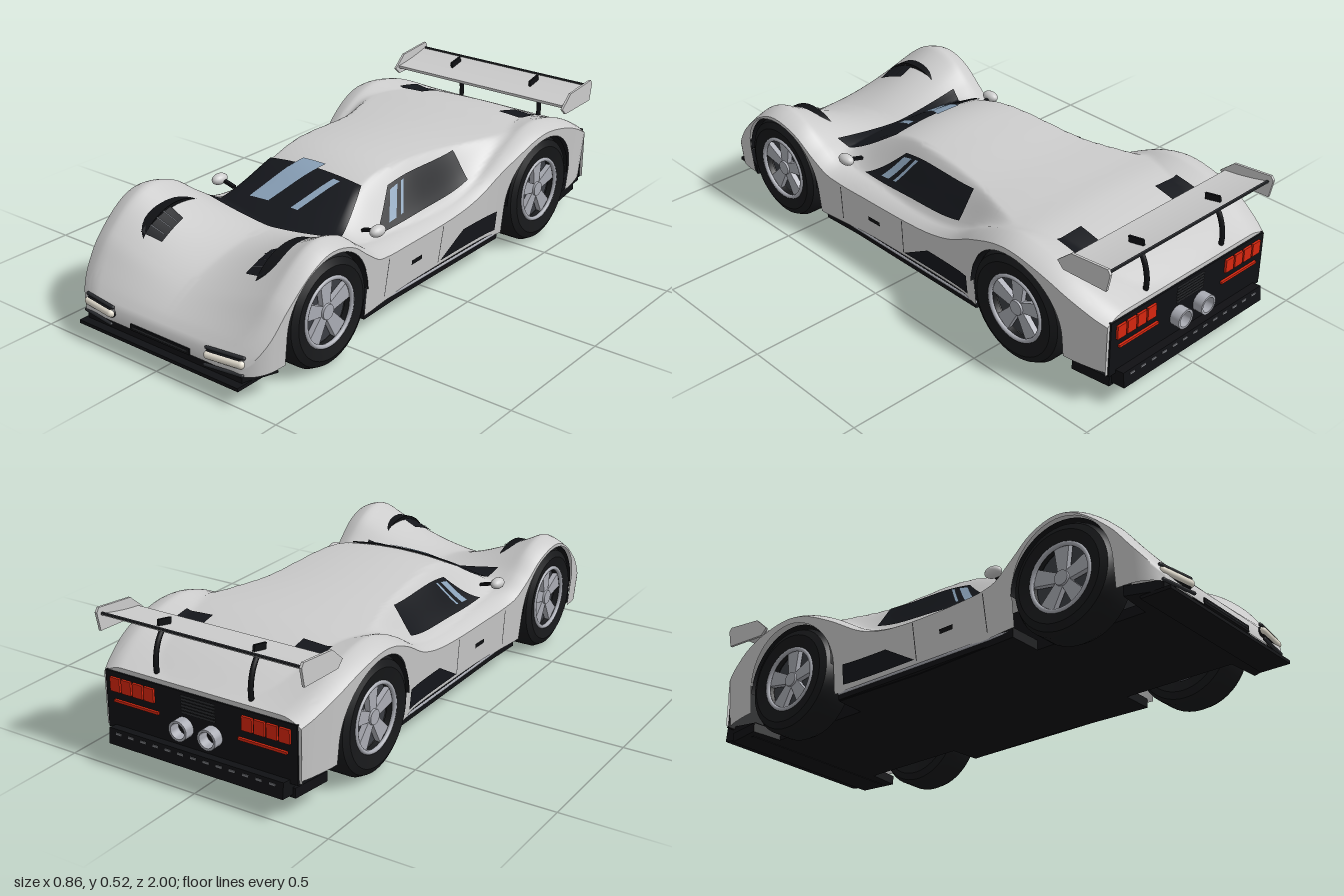
import * as THREE from 'three';
import { toCreasedNormals } from 'three/addons/utils/BufferGeometryUtils.js';

const GREY = 0xcccccc, BLACK = 0x101114, GLASS = 0x15171c, GLINT = 0x8ca4bc, RED = 0xd8260e, METAL = 0xaaacb4;
const { clamp, lerp, smoothstep } = THREE.MathUtils;

const mat = (color, double) =>
  new THREE.MeshStandardMaterial({ color, side: double ? THREE.DoubleSide : THREE.FrontSide });

function add(parent, name, geo, color, pos = [0, 0, 0], rot = [0, 0, 0], double = false) {
  const m = new THREE.Mesh(geo, mat(color, double));
  m.name = name;
  m.position.set(...pos);
  m.rotation.set(...rot);
  parent.add(m);
  return m;
}
const box = (p, name, color, size, pos, rot) => add(p, name, new THREE.BoxGeometry(...size), color, pos, rot);

// Smooth curve through [z, value] pairs, listed from nose to tail
const curve = (pts) => (z) => {
  const n = pts.length - 1;
  if (z >= pts[0][0]) return pts[0][1];
  if (z <= pts[n][0]) return pts[n][1];
  let i = 0;
  while (z < pts[i + 1][0]) i++;
  const slope = (k) => {
    const a = pts[Math.max(k - 1, 0)], b = pts[Math.min(k + 1, n)];
    return (b[1] - a[1]) / (b[0] - a[0]);
  };
  const [z0, y0] = pts[i], [z1, y1] = pts[i + 1], d = z1 - z0, t = (z - z0) / d;
  return y0 * (1 + 2 * t) * (1 - t) ** 2 + y1 * t * t * (3 - 2 * t)
    + d * (slope(i) * t * (1 - t) ** 2 - slope(i + 1) * t * t * (1 - t));
};

// Body lines along the length
const halfWidth = curve([[0.975, 0.34], [0.95, 0.375], [0.9, 0.405], [0.8, 0.42], [0.64, 0.425], [0.45, 0.412],
  [0.3, 0.392], [0, 0.382], [-0.28, 0.388], [-0.45, 0.42], [-0.6, 0.432], [-0.8, 0.425], [-0.91, 0.4], [-0.96, 0.38]]);
const centreTop = curve([[0.975, 0.14], [0.94, 0.175], [0.85, 0.23], [0.75, 0.268], [0.6, 0.3], [0.45, 0.303], [0.3, 0.29],
  [0, 0.28], [-0.2, 0.29], [-0.4, 0.33], [-0.6, 0.38], [-0.8, 0.37], [-0.96, 0.335]]);
const fenderTop = curve([[0.975, 0.14], [0.95, 0.175], [0.9, 0.24], [0.84, 0.315], [0.73, 0.405], [0.64, 0.435],
  [0.53, 0.408], [0.44, 0.345], [0.36, 0.297], [0.2, 0.283], [-0.1, 0.288], [-0.25, 0.32], [-0.39, 0.395],
  [-0.5, 0.443], [-0.59, 0.458], [-0.7, 0.442], [-0.8, 0.41], [-0.96, 0.335]]);
const roofTop = curve([[0.7, 0.14], [0.55, 0.235], [0.455, 0.3], [0.34, 0.37], [0.22, 0.436], [0.1, 0.466], [-0.05, 0.466],
  [-0.28, 0.45], [-0.45, 0.447], [-0.6, 0.446], [-0.8, 0.4], [-0.96, 0.335]]);
const roofHalf = curve([[0.45, 0.26], [0.22, 0.2], [0, 0.215], [-0.24, 0.24], [-0.4, 0.285], [-0.62, 0.345], [-0.96, 0.34]]);
const cabinHalf = curve([[0.45, 0.31], [0.22, 0.315], [0, 0.33], [-0.24, 0.335], [-0.4, 0.338], [-0.62, 0.36], [-0.96, 0.36]]);

// Height of the upper skin: hood and fenders with the cabin raised over them
function topY(x, z) {
  x = Math.abs(x);
  const base = lerp(centreTop(z), fenderTop(z), Math.min(1, x / 0.36) ** 1.4);
  const wt = roofHalf(z), s = clamp((x - wt) / (cabinHalf(z) - wt), 0, 1);
  const roof = roofTop(z) - 0.015 * Math.min(1, (x / wt) ** 2);
  const edge = Math.max(0, (x / halfWidth(z) - 0.8) / 0.2);
  return base + Math.max(0, roof - base) * (1 - 0.7 * s - 0.3 * smoothstep(s, 0, 1)) - 0.028 * edge * edge;
}
// Flank position: leans slightly inward toward the sill
const sideX = (y, z) => halfWidth(z) - 0.03 * clamp((topY(halfWidth(z), z) - y) / 0.3, 0, 1);

function gridGeo(nu, nv, fn) {
  const pos = [], idx = [];
  for (let j = 0; j <= nv; j++) for (let i = 0; i <= nu; i++) pos.push(...fn(i, j));
  for (let j = 0; j < nv; j++) for (let i = 0; i < nu; i++) {
    const a = j * (nu + 1) + i, d = a + nu + 1;
    idx.push(a, a + 1, d + 1, a, d + 1, d);
  }
  const g = new THREE.BufferGeometry();
  g.setAttribute('position', new THREE.Float32BufferAttribute(pos, 3));
  g.setIndex(idx);
  g.computeVertexNormals();
  return g;
}

// Four-cornered panel laid on the skin; corners are [x, z] on top or [y, z] on the flank
function panel(parent, name, color, c, { side = 0, off = 0.005, n = 12 } = {}) {
  const geo = gridGeo(n, n, (i, j) => {
    const u = i / n, v = j / n;
    const mix = (k) => lerp(lerp(c[0][k], c[1][k], u), lerp(c[3][k], c[2][k], u), v);
    const p = mix(0), z = mix(1), e = 0.01;
    if (side) return [side * (sideX(p, z) + off), p, z];
    const normal = new THREE.Vector3(topY(p - e, z) - topY(p + e, z), 2 * e, topY(p, z - e) - topY(p, z + e)).normalize();
    return [p + normal.x * off, topY(p, z) + normal.y * off, z + normal.z * off];
  });
  return add(parent, name, geo, color, undefined, undefined, true);
}

const AXLES = [{ name: 'front', z: 0.636, r: 0.193, arch: 0.2 }, { name: 'rear', z: -0.59, r: 0.2, arch: 0.208 }];

function bodyShell() {
  // Stations: [z, lower edge, closed end]
  const st = [[0.976, 0.095, true]];
  const run = (z0, z1, n, y) => { for (let i = 0; i <= n; i++) st.push([lerp(z0, z1, i / n), y]); };
  const arch = ({ z, r, arch: R }) => {
    for (let i = 0; i <= 24; i++) {
      const a = Math.PI * i / 24;
      st.push([z + R * Math.cos(a), r + R * Math.sin(a)]);
    }
  };
  const [f, b] = AXLES;
  run(0.976, f.z + f.arch, 10, 0.09); arch(f);
  run(f.z - f.arch, b.z + b.arch, 44, 0.09); arch(b);
  run(b.z - b.arch, -0.958, 10, 0.125);
  st.push([-0.958, 0.125, true]);
  const N = 42, K = 6, half = N + K;
  const geo = gridGeo(half * 2, st.length - 1, (i, j) => {
    const [z, low, closed] = st[j], k = Math.abs(i - half), s = Math.sign(i - half), w = halfWidth(z);
    if (k <= N) return [s * w * k / N, closed ? low : topY(w * k / N, z), z];
    const y = lerp(topY(w, z), low, (k - N) / K);
    return [s * sideX(y, z), closed ? low : y, z];
  });
  return toCreasedNormals(geo, 0.8);
}

function wheel({ r }) {
  const g = new THREE.Group(), hw = 0.075, ri = 0.118;
  const turn = [0, 0, -Math.PI / 2];
  const profile = [[ri, -hw + 0.01], [r - 0.035, -hw], [r - 0.012, -hw + 0.012], [r, -hw + 0.035],
    [r, hw - 0.035], [r - 0.012, hw - 0.012], [r - 0.035, hw], [ri, hw - 0.01], [ri - 0.004, hw - 0.04]];
  const tyre = new THREE.LatheGeometry(profile.map((p) => new THREE.Vector2(...p)), 48);
  add(g, 'tyre', toCreasedNormals(tyre, 0.6), 0x17181a, undefined, turn, true);
  add(g, 'wheelBack', new THREE.CylinderGeometry(ri, ri, 0.09, 32), 0x3c3e44, [-0.015, 0, 0], turn);
  add(g, 'rimRing', new THREE.TorusGeometry(ri - 0.004, 0.008, 8, 40), METAL, [0.064, 0, 0], [0, Math.PI / 2, 0]);
  add(g, 'hub', new THREE.CylinderGeometry(0.026, 0.03, 0.035, 20), METAL, [0.045, 0, 0], turn);
  const spoke = new THREE.Shape([[-0.016, 0.015], [0.016, 0.015], [0.03, 0.112], [-0.03, 0.112]].map((p) => new THREE.Vector2(...p)));
  const spokeGeo = new THREE.ExtrudeGeometry(spoke, { depth: 0.02, bevelEnabled: false }).rotateY(Math.PI / 2);
  for (let i = 0; i < 5; i++) add(g, 'spoke', spokeGeo, METAL, [0.035, 0, 0], [i * Math.PI * 2 / 5, 0, 0]);
  return g;
}

export function createModel() {
  const car = new THREE.Group();
  car.name = 'raceCar';
  add(car, 'bodyShell', bodyShell(), GREY, undefined, undefined, true);

  // Black floor pan, waisted around the wheels
  const rim = [[0.34, 0.96], [0.38, 0.85], [0.25, 0.84], [0.25, 0.42], [0.375, 0.42], [0.355, 0], [0.365, -0.37],
    [0.25, -0.38], [0.25, -0.8], [0.37, -0.81], [0.35, -0.95]];
  const outline = [...rim, ...rim.map(([x, z]) => [-x, z]).reverse()].map(([x, z]) => new THREE.Vector2(x, z));
  const floor = new THREE.ExtrudeGeometry(new THREE.Shape(outline), { depth: 0.035, bevelEnabled: false });
  add(car, 'floorPan', floor, BLACK, [0, 0.1, 0], [Math.PI / 2, 0, 0]);
  box(car, 'innerTub', BLACK, [0.5, 0.15, 1.6], [0, 0.155, -0.1]);

  // Windscreen and its reflections
  panel(car, 'windscreen', GLASS, [[-0.285, 0.458], [0.285, 0.458], [0.2, 0.215], [-0.2, 0.215]], { n: 36, off: 0.006 });
  panel(car, 'windscreenGlint', GLINT, [[-0.155, 0.375], [-0.07, 0.375], [0.03, 0.19], [-0.07, 0.19]], { off: 0.009 });
  panel(car, 'windscreenGlint', GLINT, [[0.03, 0.375], [0.06, 0.375], [0.128, 0.235], [0.1, 0.235]], { off: 0.009 });

  for (const s of [1, -1]) {
    const top = (c) => c.map(([x, z]) => [s * x, z]);
    // Side window and reflections
    panel(car, 'sideWindow', GLASS, top([[0.306, 0.27], [0.236, 0.12], [0.252, -0.24], [0.32, -0.24]]), { n: 16 });
    panel(car, 'sideGlint', GLINT, top([[0.295, 0.19], [0.245, 0.12], [0.245, 0.08], [0.295, 0.15]]), { off: 0.008 });
    panel(car, 'sideGlint', GLINT, top([[0.295, 0.125], [0.245, 0.06], [0.245, 0.045], [0.295, 0.11]]), { off: 0.008 });

    // Vents on the fenders and rear deck
    panel(car, 'frontVent', GLASS, top([[0.185, 0.77], [0.265, 0.785], [0.27, 0.66], [0.195, 0.66]]));
    panel(car, 'rearVent', GLASS, top([[0.178, -0.65], [0.288, -0.65], [0.288, -0.77], [0.178, -0.77]]));
    for (let i = 0; i < 3; i++) {
      const z = 0.69 + i * 0.03;
      panel(car, 'ventLouvre', 0x55585e, top([[0.195, z], [0.258, z + 0.005], [0.258, z], [0.195, z - 0.005]]), { off: 0.009, n: 4 });
    }

    // Flank details: intake, door handle, shut lines, sill
    panel(car, 'sideIntake', GLASS, [[0.115, -0.01], [0.19, -0.14], [0.19, -0.34], [0.115, -0.34]], { side: s });
    panel(car, 'doorHandle', BLACK, [[0.17, 0.17], [0.187, 0.17], [0.187, 0.11], [0.17, 0.11]], { side: s });
    for (const z of [0.32, 0])
      panel(car, 'shutLine', 0x3a3a3c, [[0.11, z], [0.25, z - 0.01], [0.25, z - 0.014], [0.11, z - 0.004]], { side: s, off: 0.002 });
    box(car, 'sill', BLACK, [0.03, 0.03, 0.78], [s * 0.355, 0.083, 0.02]);
    const pipe = new THREE.CylinderGeometry(0.006, 0.006, 0.78, 8);
    add(car, 'sillTrim', pipe, METAL, [s * 0.368, 0.092, 0.02], [Math.PI / 2, 0, 0]);

    // Door mirror
    add(car, 'mirror', new THREE.SphereGeometry(1, 20, 14), GREY, [s * 0.352, 0.342, 0.32]).scale.set(0.022, 0.02, 0.034);
    box(car, 'mirrorStalk', BLACK, [0.06, 0.01, 0.014], [s * 0.315, 0.333, 0.315], [0, 0, s * 0.25]);

    // Headlamps with trim bars
    const lamp = new THREE.Group();
    lamp.name = 'headlamp';
    lamp.position.set(s * 0.274, 0.129, 0.968);
    lamp.rotation.y = s * 0.14;
    car.add(lamp);
    const bar = (name, r, color, y, z) =>
      add(lamp, name, new THREE.CapsuleGeometry(r, 0.15 - 2 * r, 6, 14), color, [0, y, z], [0, 0, Math.PI / 2]);
    bar('lampSurround', 0.018, BLACK, 0, 0);
    bar('lampLens', 0.014, 0xe8e2d4, 0, 0.007);
    bar('lampTrim', 0.006, 0x2a2c30, 0.022, 0.003);
    bar('lampTrim', 0.006, 0x2a2c30, -0.033, 0.014);

    // Wheels and arch liners
    for (const a of AXLES) {
      const w = wheel(a);
      w.name = a.name + 'Wheel';
      w.position.set(s * 0.342, a.r, a.z);
      if (s < 0) w.rotation.y = Math.PI;
      car.add(w);
      const liner = new THREE.CylinderGeometry(a.arch, a.arch, 0.16, 32, 1, true, 0, Math.PI);
      add(car, a.name + 'ArchLiner', liner, BLACK, [s * 0.325, a.r, a.z], [0, 0, Math.PI / 2], true);
      const wall = new THREE.CircleGeometry(a.arch, 32, 0, Math.PI);
      add(car, a.name + 'ArchWall', wall, BLACK, [s * 0.25, a.r, a.z], [0, Math.PI / 2, 0], true);
    }

    // Tail lamps and exhausts
    for (let i = 0; i < 4; i++) box(car, 'tailLamp', RED, [0.039, 0.048, 0.01], [s * (0.19 + i * 0.046), 0.278, -0.967]);
    box(car, 'tailLightBar', RED, [0.18, 0.009, 0.01], [s * 0.245, 0.222, -0.967]);
    const tip = new THREE.LatheGeometry([[0.028, -0.03], [0.035, -0.03], [0.035, 0.03], [0.027, 0.03], [0.025, -0.01], [0, -0.01]]
      .map((p) => new THREE.Vector2(...p)), 24);
    add(car, 'exhaust', toCreasedNormals(tip, 0.6), METAL, [s * 0.056, 0.2, -0.97], [-Math.PI / 2, 0, 0], true);

    // Wing end plate, strut and bracket
    const plate = new THREE.Shape([[0.755, 0.462], [0.78, 0.438], [0.955, 0.445], [0.968, 0.51], [0.957, 0.525], [0.81, 0.51]]
      .map((p) => new THREE.Vector2(...p)));
    add(car, 'wingEndPlate', new THREE.ExtrudeGeometry(plate, { depth: 0.009, bevelEnabled: false }), GREY,
      [s * 0.389 - 0.0045, 0, 0], [0, Math.PI / 2, 0]);
    const strut = new THREE.CatmullRomCurve3([[0.32, -0.93], [0.38, -0.935], [0.44, -0.92], [0.485, -0.89]]
      .map(([y, z]) => new THREE.Vector3(s * 0.183, y, z)));
    add(car, 'wingStrut', new THREE.TubeGeometry(strut, 12, 0.009, 8), BLACK);
    box(car, 'wingBracket', BLACK, [0.008, 0.022, 0.06], [s * 0.183, 0.498, -0.885], [0.2, 0, 0]);
  }

  // Nose: splitter, lower grille and intake
  box(car, 'splitter', BLACK, [0.7, 0.012, 0.11], [0, 0.061, 0.945]);
  box(car, 'lowerGrille', BLACK, [0.68, 0.035, 0.05], [0, 0.08, 0.945]);
  box(car, 'noseIntake', BLACK, [0.26, 0.022, 0.012], [0, 0.106, 0.975]);
  box(car, 'noseIntakeBar', 0x3a3c40, [0.24, 0.005, 0.012], [0, 0.106, 0.978]);

  // Tail: dark panel, mesh, diffuser with marker strips
  box(car, 'tailPanel', BLACK, [0.74, 0.2, 0.01], [0, 0.22, -0.959]);
  for (let i = 0; i < 6; i++) box(car, 'tailMesh', 0x3a3c40, [0.13, 0.005, 0.008], [0, 0.25 + i * 0.011, -0.963]);
  box(car, 'diffuser', BLACK, [0.68, 0.055, 0.16], [0, 0.1, -0.92], [0.12, 0, 0]);
  for (let i = -6; i <= 6; i++) box(car, 'diffuserMarker', 0x77797e, [0.022, 0.007, 0.006], [i * 0.05, 0.122, -0.997]);

  // Rear wing: cambered blade with a trailing lip
  const blade = new THREE.Shape();
  blade.moveTo(0.775, 0.47);
  blade.quadraticCurveTo(0.86, 0.478, 0.95, 0.503);
  blade.lineTo(0.95, 0.497);
  blade.quadraticCurveTo(0.86, 0.462, 0.775, 0.46);
  const bladeGeo = new THREE.ExtrudeGeometry(blade, { depth: 0.77, bevelEnabled: false, curveSegments: 10 });
  add(car, 'wingBlade', toCreasedNormals(bladeGeo, 0.5), GREY, [-0.385, 0, 0], [0, Math.PI / 2, 0]);
  box(car, 'wingLip', 0x2a2c30, [0.76, 0.006, 0.008], [0, 0.505, -0.95]);
  return car;
}
